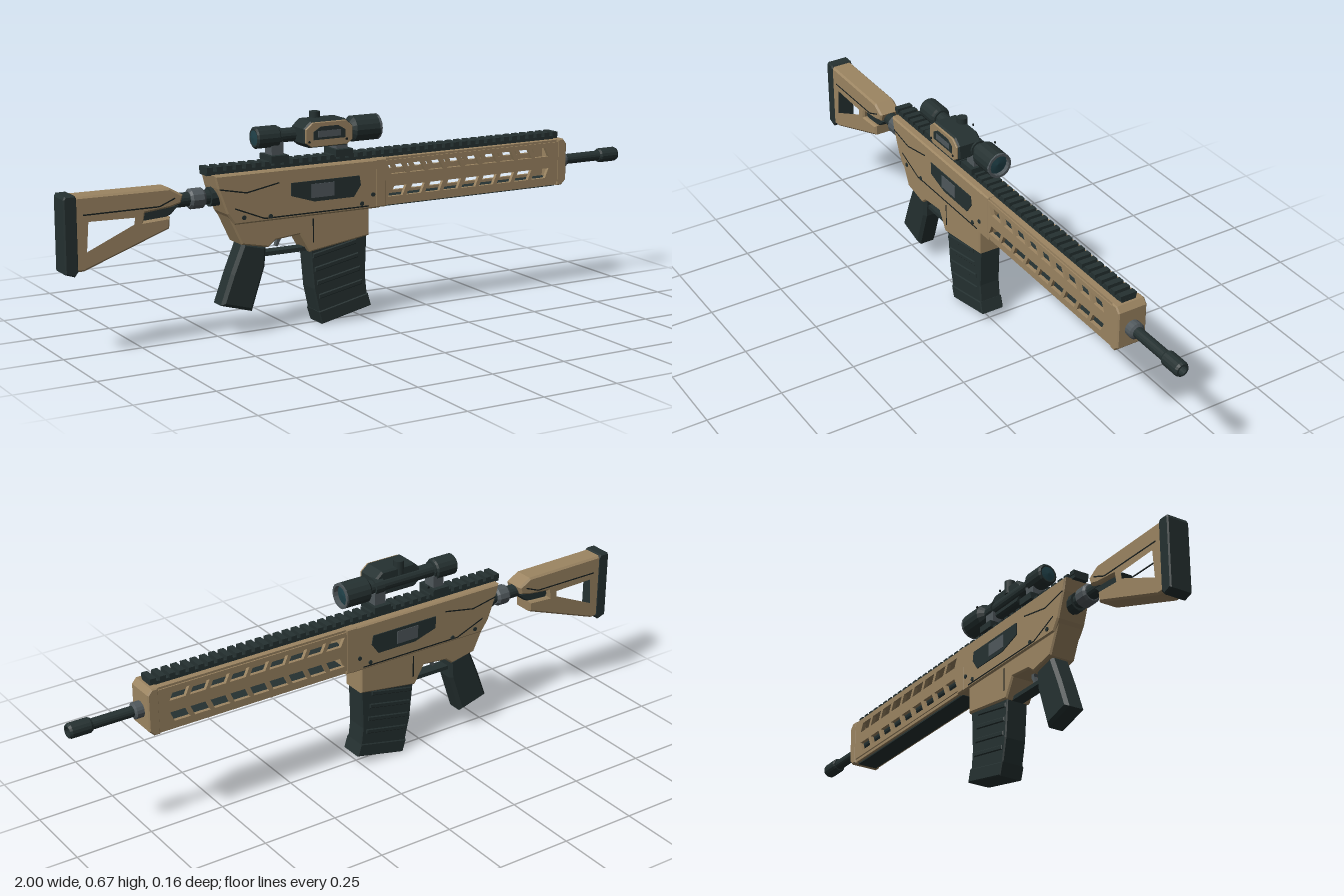
import * as THREE from 'three';

const flat = (name, color) => {
  const m = new THREE.MeshStandardMaterial({ color });
  m.name = name;
  return m;
};

export function createModel() {
  const model = new THREE.Group();
  model.name = 'model';
  const tan = flat('tan', 0x9c8562);
  const dark = flat('dark green', 0x253131);
  const black = flat('seam black', 0x171e1e);
  const grey = flat('grey metal', 0x50585c);
  const glass = flat('teal glass', 0x21424a);

  const add = (name, geo, mat, x = 0, y = 0, z = 0) => {
    const mesh = new THREE.Mesh(geo, mat);
    mesh.name = name;
    mesh.position.set(x, y, z);
    model.add(mesh);
    return mesh;
  };
  const box = (name, mat, x0, x1, y0, y1, z0, z1) =>
    add(name, new THREE.BoxGeometry(x1 - x0, y1 - y0, z1 - z0), mat,
      (x0 + x1) / 2, (y0 + y1) / 2, (z0 + z1) / 2);
  const toShape = (pts) => new THREE.Shape(pts.map(([x, y]) => new THREE.Vector2(x, y)));
  // Side profile extruded across z, from z0 to z1, with chamfered edges
  const slab = (name, mat, pts, z0, z1, bevel = 0, holes = []) => {
    const shape = toShape(pts);
    holes.forEach((h) => shape.holes.push(toShape(h)));
    const geo = new THREE.ExtrudeGeometry(shape, {
      depth: z1 - z0 - 2 * bevel, bevelEnabled: bevel > 0, bevelThickness: bevel,
      bevelSize: bevel, bevelOffset: -bevel, bevelSegments: 1,
    });
    return add(name, geo, mat, 0, 0, z0 + bevel);
  };
  // Round part turned about the x axis; profile is [x, radius] pairs
  const turned = (name, mat, y, profile, sides = 16) => {
    const geo = new THREE.LatheGeometry(profile.map(([x, r]) => new THREE.Vector2(r, x)), sides);
    geo.rotateZ(-Math.PI / 2);
    const m = add(name, geo.toNonIndexed(), mat, 0, y, 0);
    m.geometry.computeVertexNormals();
    return m;
  };
  // Thin panel seam drawn on one side
  const seam = (pts, z) => {
    for (let i = 0; i + 1 < pts.length; i++) {
      const [a, b] = [pts[i], pts[i + 1]];
      const dx = b[0] - a[0], dy = b[1] - a[1];
      const m = add('panelSeam', new THREE.BoxGeometry(Math.hypot(dx, dy), 0.004, 0.002), black,
        (a[0] + b[0]) / 2, (a[1] + b[1]) / 2, z);
      m.rotation.z = Math.atan2(dy, dx);
    }
  };

  // Receiver
  slab('lowerReceiver', tan, [[-0.50, 0.45], [-0.48, 0.385], [-0.435, 0.29], [-0.345, 0.272],
    [-0.32, 0.292], [-0.235, 0.30], [-0.2, 0.24], [0.01, 0.27], [0.01, 0.45]], -0.044, 0.044, 0.005);
  slab('upperReceiver', tan, [[-0.525, 0.51], [-0.515, 0.47], [-0.485, 0.39], [-0.46, 0.355],
    [0.045, 0.355], [0.045, 0.51]], -0.049, 0.049, 0.005);
  for (const s of [-1, 1]) {
    const z = s * 0.049;
    slab('ejectionPort', dark, [[-0.27, 0.465], [-0.03, 0.465], [-0.025, 0.435], [-0.05, 0.4],
      [-0.19, 0.4], [-0.27, 0.425]], z - 0.003, z + 0.003);
    box('boltCover', grey, -0.2, -0.12, 0.412, 0.455, z - 0.005, z + 0.005);
    seam([[-0.51, 0.468], [-0.42, 0.45], [-0.31, 0.47]], z);
    seam([[-0.46, 0.405], [-0.36, 0.365], [-0.2, 0.365], [0.005, 0.365]], z);
    seam([[-0.19, 0.345], [-0.19, 0.27]], s * 0.044);
    for (const [x, y] of [[-0.43, 0.375], [-0.34, 0.37], [-0.02, 0.375], [0.02, 0.4]]) {
      const pin = add('receiverPin', new THREE.CylinderGeometry(0.007, 0.007, 0.006, 10), dark, x, y, z);
      pin.rotation.x = Math.PI / 2;
    }
  }

  // Grip, guard and trigger
  slab('grip', dark, [[-0.425, 0.295], [-0.345, 0.275], [-0.35, 0.21], [-0.395, 0.075],
    [-0.5, 0.105], [-0.465, 0.2]], -0.034, 0.034, 0.01);
  box('triggerGuard', dark, -0.355, -0.19, 0.24, 0.253, -0.02, 0.02);
  slab('trigger', grey, [[-0.305, 0.31], [-0.285, 0.31], [-0.283, 0.285], [-0.295, 0.262],
    [-0.302, 0.264], [-0.296, 0.285]], -0.007, 0.007);

  // Magazine with slanted side ribs
  slab('magazine', dark, [[-0.198, 0.26], [-0.185, 0.12], [-0.165, 0.03], [0.008, 0.07],
    [0, 0.14], [0.005, 0.275]], -0.037, 0.037, 0.004);
  slab('magazineBase', dark, [[-0.17, 0.045], [-0.157, 0.004], [0.02, 0.042], [0.008, 0.083]],
    -0.04, 0.04, 0.003);
  for (let i = 0; i < 4; i++) {
    const y = 0.085 + i * 0.044, x = -0.168 - i * 0.007;
    slab('magazineRib', dark, [[x, y], [x + 0.155, y + 0.03], [x + 0.155, y + 0.046], [x, y + 0.016]],
      -0.0405, 0.0405, 0.003);
  }

  // Handguard: slotted side walls, top, floor and end cap
  const slots = [];
  for (let i = 0; i < 9; i++) {
    const x = 0.075 + i * 0.0685, w = 0.054, k = 0.014;
    slots.push([[x, 0.488], [x + w, 0.488], [x + w + k, 0.458], [x + k, 0.458]]);
    slots.push([[x + k, 0.419], [x + w + k, 0.419], [x + w, 0.387], [x, 0.387]]);
  }
  for (const s of [-1, 1]) {
    slab('handguardWall', tan, [[0.04, 0.37], [0.74, 0.37], [0.74, 0.503], [0.04, 0.503]],
      s * 0.042 - 0.006, s * 0.042 + 0.006, 0, slots);
  }
  box('handguardTop', tan, 0.04, 0.74, 0.498, 0.51, -0.044, 0.044);
  box('handguardFloor', tan, 0.04, 0.74, 0.36, 0.373, -0.044, 0.044);
  box('innerFloor', dark, 0.05, 0.73, 0.373, 0.378, -0.036, 0.036);
  box('bottomPlate', dark, 0.06, 0.725, 0.355, 0.36, -0.034, 0.034);
  slab('handguardCap', tan, [[0.725, 0.358], [0.745, 0.358], [0.762, 0.375], [0.762, 0.495],
    [0.748, 0.512], [0.725, 0.512]], -0.049, 0.049, 0.004);
  slab('handguardCollar', tan, [[0.03, 0.357], [0.07, 0.357], [0.07, 0.511], [0.03, 0.511]],
    -0.0495, 0.0495, 0.004);

  // Barrel
  turned('barrel', dark, 0.432, [[0.05, 0], [0.05, 0.017], [0.95, 0.017], [0.95, 0]]);
  turned('barrelCollar', grey, 0.432, [[0.755, 0], [0.755, 0.026], [0.785, 0.026], [0.79, 0.018], [0.79, 0]]);
  turned('muzzle', dark, 0.432, [[0.925, 0], [0.925, 0.02], [0.932, 0.024], [0.992, 0.024], [1, 0.02],
    [1, 0.014], [0.97, 0.014], [0.97, 0]]);

  // Toothed top rail
  box('railBase', dark, -0.54, 0.74, 0.508, 0.52, -0.024, 0.024);
  for (let i = 0; i < 40; i++) {
    const x = -0.54 + i * 0.0323;
    box('railTooth', dark, x, x + 0.02, 0.519, 0.533, -0.027, 0.027);
  }

  // Stock
  slab('stock', tan, [[-0.97, 0.49], [-0.665, 0.487], [-0.622, 0.462], [-0.63, 0.437], [-0.665, 0.428],
    [-0.745, 0.42], [-0.75, 0.395], [-0.665, 0.4], [-0.668, 0.365], [-0.94, 0.268], [-0.97, 0.268]],
  -0.036, 0.036, 0.006, [[[-0.93, 0.42], [-0.772, 0.416], [-0.776, 0.386], [-0.936, 0.318]]]);
  slab('buttPad', dark, [[-0.995, 0.495], [-0.965, 0.495], [-0.958, 0.485], [-0.958, 0.27],
    [-0.97, 0.255], [-1, 0.265], [-1, 0.485]], -0.038, 0.038, 0.004);
  slab('stockLever', dark, [[-0.76, 0.425], [-0.66, 0.43], [-0.63, 0.43], [-0.655, 0.405], [-0.7, 0.385],
    [-0.745, 0.39]], -0.022, 0.022, 0.004);
  for (const s of [-1, 1]) seam([[-0.94, 0.435], [-0.7, 0.435], [-0.65, 0.455]], s * 0.036);
  turned('bufferTube', dark, 0.44, [[-0.7, 0], [-0.7, 0.022], [-0.49, 0.022], [-0.49, 0]]);
  turned('tubeCollar', grey, 0.44, [[-0.592, 0], [-0.592, 0.026], [-0.585, 0.032], [-0.55, 0.032],
    [-0.542, 0.026], [-0.542, 0]], 12);
  turned('tubeRing', dark, 0.44, [[-0.525, 0], [-0.525, 0.03], [-0.49, 0.03], [-0.49, 0]], 12);

  // Scope
  turned('scopeTube', dark, 0.605, [[-0.365, 0], [-0.37, 0.028], [-0.365, 0.034], [-0.295, 0.034],
    [-0.285, 0.022], [-0.045, 0.022], [-0.03, 0.041], [0.055, 0.041]]);
  turned('objectiveRim', grey, 0.605, [[0.052, 0.041], [0.06, 0.041], [0.06, 0.033], [0.045, 0.033]]);
  turned('frontLens', glass, 0.605, [[0.045, 0.034], [0.05, 0]]);
  turned('rearLens', glass, 0.605, [[-0.372, 0], [-0.369, 0.025]]);
  for (const x of [-0.3, -0.075]) {
    box('mountBase', dark, x - 0.03, x + 0.03, 0.528, 0.55, -0.038, 0.038);
    box('mountNeck', grey, x - 0.02, x + 0.02, 0.55, 0.59, -0.022, 0.022);
    turned('mountRing', dark, 0.605, [[x - 0.016, 0.02], [x - 0.016, 0.028], [x + 0.016, 0.028], [x + 0.016, 0.02]]);
  }
  const housing = [[-0.235, 0.585], [-0.215, 0.57], [-0.085, 0.57], [-0.065, 0.585], [-0.065, 0.63],
    [-0.09, 0.652], [-0.21, 0.652], [-0.235, 0.63]];
  slab('sightHousing', dark, housing, -0.012, 0.071, 0.006);
  slab('sightFrame', tan, housing.map(([x, y]) => [-0.15 + (x + 0.15) * 0.96, 0.611 + (y - 0.611) * 0.92]),
    0.069, 0.076, 0.002);
  slab('sightInset', dark, [[-0.205, 0.595], [-0.095, 0.595], [-0.095, 0.62], [-0.12, 0.635],
    [-0.18, 0.635], [-0.205, 0.62]], 0.073, 0.0775);
  box('sightWindow', grey, -0.19, -0.11, 0.602, 0.622, 0.0755, 0.078);
  add('topKnob', new THREE.CylinderGeometry(0.017, 0.017, 0.045, 12), dark, -0.16, 0.648, 0);
  // Small side screws
  for (const x of [-0.22, -0.09]) for (const s of [-1, 1]) {
    const screw = add('sideScrew', new THREE.CylinderGeometry(0.004, 0.004, 0.003, 8), black, x, 0.59, s * 0.077);
    screw.rotation.x = Math.PI / 2;
  }

  // Turned profiles are open shells, so show both faces
  for (const m of [dark, grey, glass]) m.side = THREE.DoubleSide;
  return model;
}
